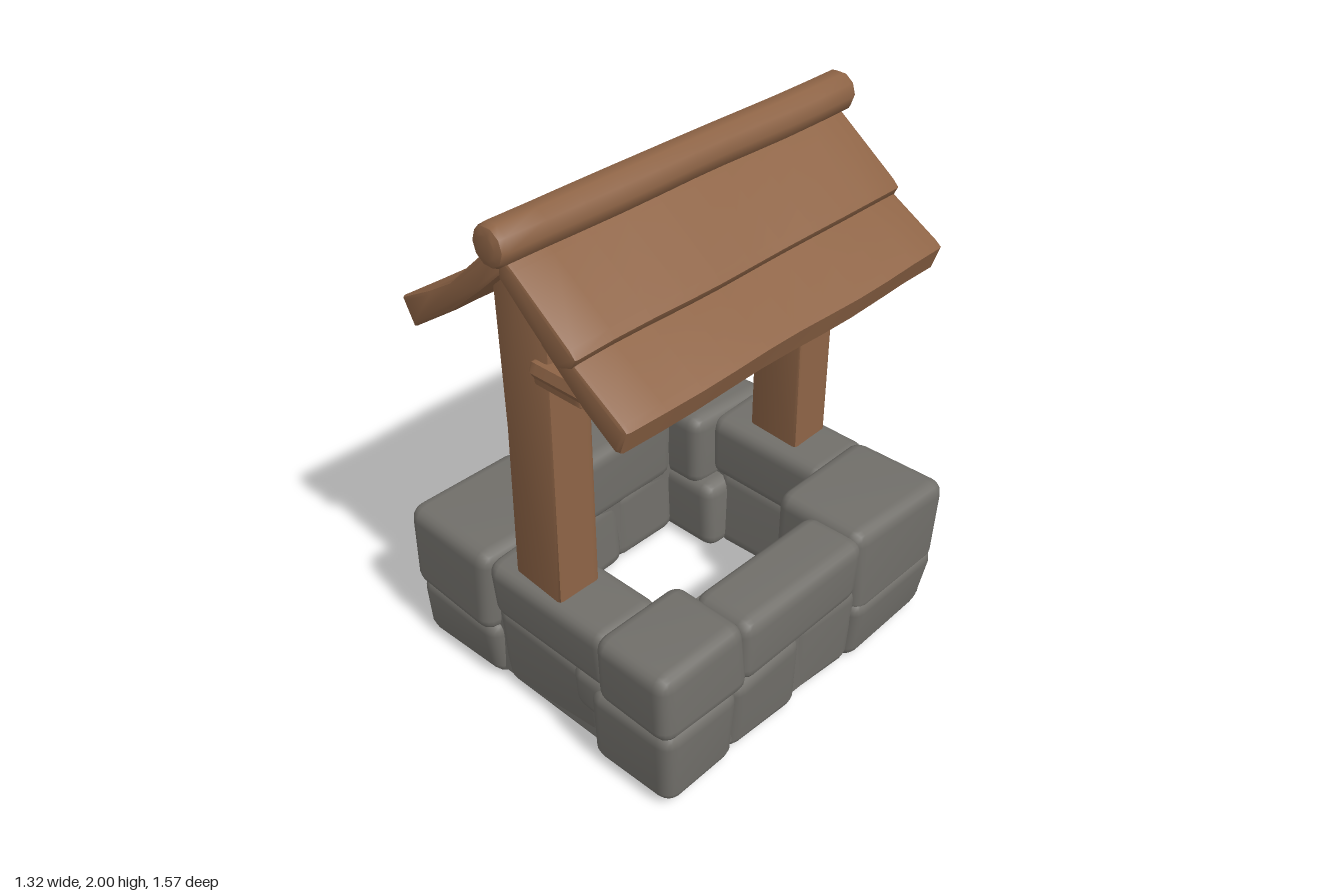
import * as THREE from 'three';
import { mergeVertices, toCreasedNormals } from 'three/addons/utils/BufferGeometryUtils.js';
import { RoundedBoxGeometry } from 'three/addons/geometries/RoundedBoxGeometry.js';

const stone = new THREE.MeshStandardMaterial({ name: 'grey stone', color: 0x716f6a });
const wood = new THREE.MeshStandardMaterial({ name: 'brown wood', color: 0x8e6446 });

// Small seeded random generator
let seed = 11;
const rand = () => (seed = (seed * 16807) % 2147483647) / 2147483647;

function add(parent, name, geometry, material) {
  const mesh = new THREE.Mesh(geometry, material);
  mesh.name = name;
  parent.add(mesh);
  return mesh;
}

// Worn block: rounded box whose eight corners are pushed inwards a little
function stoneGeometry([x0, x1, y0, y1, z0, z1]) {
  const size = [x1 - x0, y1 - y0, z1 - z0];
  const centre = [(x0 + x1) / 2, (y0 + y1) / 2, (z0 + z1) / 2];
  let geo = new RoundedBoxGeometry(...size, 2, Math.min(0.06, Math.min(...size) * 0.3));
  const push = Array.from({ length: 8 }, () => [rand() * 0.03, rand() * 0.015, rand() * 0.03]);
  const pos = geo.attributes.position;
  for (let i = 0; i < pos.count; i++) {
    const p = [pos.getX(i), pos.getY(i), pos.getZ(i)];
    const t = p.map((v, a) => v / size[a] + 0.5);
    const out = p.map((v, a) => v + centre[a]);
    for (let c = 0; c < 8; c++) {
      const bit = [c & 1, (c >> 1) & 1, (c >> 2) & 1];
      const w = bit.reduce((s, b, a) => s * (b ? t[a] : 1 - t[a]), 1);
      for (let a = 0; a < 3; a++) out[a] -= w * push[c][a] * (bit[a] ? 1 : -1);
    }
    // the wall tapers in slightly towards the ground
    const taper = 1 - 0.04 * Math.max(0, 1 - out[1] / 0.15);
    pos.setXYZ(i, out[0] * taper, out[1], out[2] * taper);
  }
  geo.deleteAttribute('normal');
  geo.deleteAttribute('uv');
  geo = mergeVertices(geo);
  geo.computeVertexNormals();
  return geo;
}

// Gentle hand-hewn waviness that depends only on position
function hew(geo, amount) {
  const pos = geo.attributes.position;
  for (let i = 0; i < pos.count; i++) {
    const x = pos.getX(i), y = pos.getY(i), z = pos.getZ(i);
    pos.setXYZ(i,
      x + amount * Math.sin(z * 9 + y * 7),
      y + amount * Math.sin(z * 7 + x * 11 + 1),
      z + amount * Math.sin(x * 13 + y * 8 + 2));
  }
  return toCreasedNormals(geo, 0.75);
}

// Profile in x and y, extruded from z0 to z1 with worn edges
function timber(points, z0, z1, bevel = 0.015, amount = 0.004) {
  const shape = new THREE.Shape(points.map(([x, y]) => new THREE.Vector2(x, y)));
  const geo = new THREE.ExtrudeGeometry(shape, {
    depth: z1 - z0 - 2 * bevel, steps: 10, bevelEnabled: true,
    bevelThickness: bevel, bevelSize: bevel, bevelOffset: -bevel, bevelSegments: 2,
  });
  geo.translate(0, 0, z0 + bevel);
  return hew(geo, amount);
}

export function createModel() {
  const well = new THREE.Group();
  well.name = 'well';

  // Stone wall: x0, x1, y0, y1, z0, z1 of each block
  const blocks = [
    // front row
    [-0.67, -0.2, 0.24, 0.615, 0.22, 0.755], [-0.26, 0.37, 0.34, 0.6, 0.43, 0.745], [0.28, 0.665, 0.31, 0.615, 0.33, 0.755],
    [-0.665, -0.19, 0, 0.29, 0.26, 0.75], [-0.26, 0.32, 0, 0.39, 0.44, 0.725], [0.26, 0.665, 0, 0.36, 0.37, 0.755],
    [0.16, 0.38, 0.18, 0.39, 0.5, 0.735],
    // right side
    [0.37, 0.66, 0.33, 0.6, -0.28, 0.38], [0.37, 0.65, 0, 0.36, 0.02, 0.43], [0.36, 0.645, 0, 0.38, -0.29, 0.08],
    // left side
    [-0.66, -0.36, 0.28, 0.6, -0.37, 0.28], [-0.65, -0.37, 0, 0.34, -0.08, 0.32], [-0.645, -0.37, 0, 0.35, -0.4, -0.02],
    // back row
    [0.23, 0.665, 0.22, 0.615, -0.745, -0.22], [-0.29, 0.31, 0.31, 0.6, -0.74, -0.42], [-0.67, -0.22, 0.27, 0.615, -0.75, -0.32],
    [0.24, 0.66, 0, 0.31, -0.735, -0.22], [-0.24, 0.31, 0, 0.36, -0.725, -0.43], [-0.66, -0.16, 0, 0.33, -0.74, -0.33],
  ];
  const wall = new THREE.Group();
  wall.name = 'stoneWall';
  well.add(wall);
  blocks.forEach((b) => add(wall, 'stoneBlock', stoneGeometry(b), stone));

  // Recessed core that closes the joints between the blocks
  const rect = (T, x, z) => new T([[-x, -z], [x, -z], [x, z], [-x, z]].map(([a, b]) => new THREE.Vector2(a, b)));
  const ring = rect(THREE.Shape, 0.61, 0.69);
  ring.holes.push(rect(THREE.Path, 0.395, 0.46));
  const core = new THREE.ExtrudeGeometry(ring, { depth: 0.5, bevelEnabled: false });
  core.rotateX(-Math.PI / 2).translate(0, 0.06, 0);
  add(wall, 'wallCore', core, stone);

  // Posts with gabled tops; each has a peg of a rounded block under a flat board,
  // on opposite sides
  const postProfile = [[-0.12, 0.56], [0.115, 0.56], [0.112, 1.2], [0.112, 1.76], [0, 1.86], [-0.118, 1.76], [-0.116, 1.2]];
  const pegBlock = [[-0.05, 1.42], [0.06, 1.42], [0.1, 1.45], [0.105, 1.5], [-0.105, 1.5], [-0.1, 1.45]];
  const pegBoard = [[-0.105, 1.475], [0.1, 1.475], [0.115, 1.5], [0.105, 1.535], [-0.11, 1.535], [-0.12, 1.5]];
  for (const side of [1, -1]) {
    const name = side > 0 ? 'front' : 'back';
    const z = side * 0.6;
    add(well, name + 'Post', timber(postProfile, z - 0.087, z + 0.087), wood);
    const peg = new THREE.Group();
    peg.name = name + 'Peg';
    peg.rotation.y = side * Math.PI / 2;
    peg.position.z = side * 0.59;
    well.add(peg);
    add(peg, 'pegBlock', timber(pegBlock, 0.05, 0.262, 0.012, 0.003), wood);
    add(peg, 'pegBoard', timber(pegBoard, 0.05, 0.275, 0.012, 0.003), wood);
  }

  // Roof: one wide slab on the left-hand slope, two overlapping planks on the other
  const roof = new THREE.Group();
  roof.name = 'roof';
  well.add(roof);
  add(roof, 'wideRoofSlab', timber(
    [[-0.01, 1.92], [-0.08, 1.875], [-0.27, 1.685], [-0.38, 1.61], [-0.525, 1.53], [-0.475, 1.435], [-0.27, 1.58], [-0.12, 1.715], [0, 1.83]],
    -0.76, 0.735, 0.015, 0.003), wood);
  add(roof, 'upperRoofPlank', timber(
    [[0, 1.91], [0.07, 1.865], [0.3, 1.71], [0.325, 1.685], [0.305, 1.645], [0.24, 1.615], [0.12, 1.71], [0, 1.82]],
    -0.735, 0.76, 0.012, 0.003), wood);
  add(roof, 'lowerRoofPlank', timber(
    [[0.2, 1.72], [0.31, 1.66], [0.5, 1.55], [0.525, 1.53], [0.495, 1.445], [0.47, 1.44], [0.34, 1.52], [0.16, 1.66]],
    -0.73, 0.755, 0.015, 0.003), wood);

  // Ridge pole with domed ends, slightly askew
  const pole = Array.from({ length: 10 }, (_, i) => {
    const a = (i / 10) * Math.PI * 2;
    return [0.074 * Math.cos(a), 0.074 * Math.sin(a)];
  });
  const ridge = add(roof, 'ridgePole', timber(pole, -0.787, 0.787, 0.03, 0.002), wood);
  ridge.position.y = 1.927;
  ridge.rotation.y = -0.012;

  return well;
}
